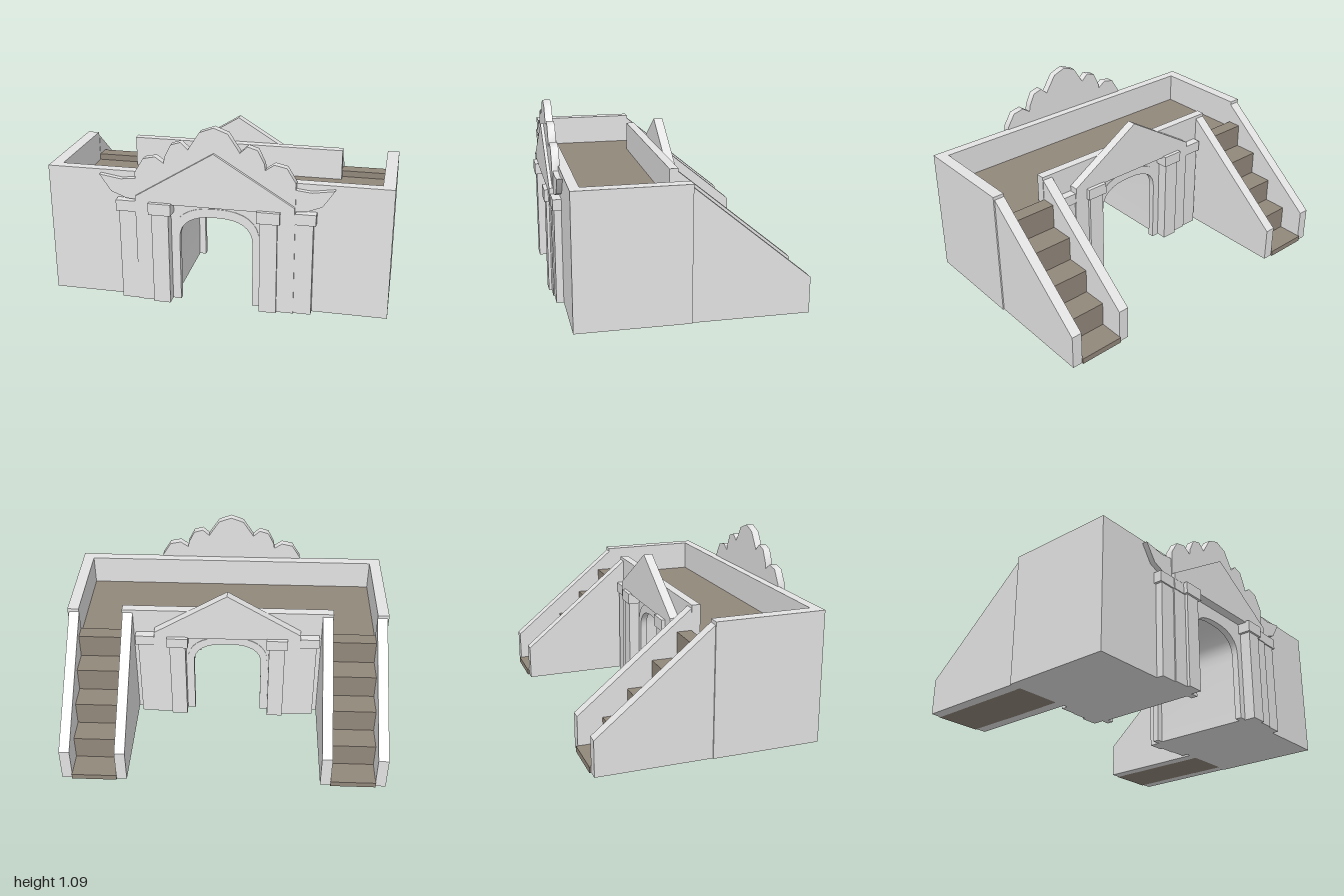
import * as THREE from 'three';
import { toCreasedNormals } from 'three/addons/utils/BufferGeometryUtils.js';

const stone = new THREE.MeshStandardMaterial({ color: 0xe3e3e3 });
stone.name = 'grey stone';
const earth = new THREE.MeshStandardMaterial({ color: 0x92887b });
earth.name = 'brown paving';

const FLOOR = 0.6, TOP = 0.79, BACK = -0.021, FRONT = 0.633;

function add(parent, name, geometry, material = stone) {
  const mesh = new THREE.Mesh(geometry, material);
  mesh.name = name;
  parent.add(mesh);
  return mesh;
}

// Box given by its limits on each axis
function box(parent, name, x0, x1, y0, y1, z0, z1, material) {
  const g = new THREE.BoxGeometry(x1 - x0, y1 - y0, z1 - z0);
  g.translate((x0 + x1) / 2, (y0 + y1) / 2, (z0 + z1) / 2);
  return add(parent, name, g, material);
}

// Outline in x, y extruded between two z values
function slab(parent, name, points, z0, z1, crease = 0.6) {
  const shape = new THREE.Shape(points.map(([x, y]) => new THREE.Vector2(x, y)));
  const g = new THREE.ExtrudeGeometry(shape, { depth: z1 - z0, bevelEnabled: false });
  g.translate(0, 0, z0);
  return add(parent, name, toCreasedNormals(g, crease));
}

// Arch line from the right foot over the top to the left foot
function arch(width, spring, height, n = 16) {
  const pts = [[width, 0]];
  for (let i = 0; i <= n; i++) {
    const a = (i / n) * Math.PI, c = Math.cos(a), s = Math.max(0, Math.sin(a));
    pts.push([Math.sign(c) * width * Math.abs(c) ** 0.8, spring + height * s ** 0.8]);
  }
  pts.push([-width, 0]);
  return pts;
}

// Completes a right-half outline (top centre to bottom) with its mirror image
function mirrored(half) {
  return [...half, ...half.filter(([x]) => x > 0).reverse().map(([x, y]) => [-x, y])];
}

// The passage is wider than the frames set into its two ends
const passage = arch(0.255, 0.4, 0.195);
const opening = arch(0.215, 0.39, 0.152);

// Arch frame, pilasters with capitals, and pediment
function facade(name) {
  const group = new THREE.Group();
  group.name = name;
  slab(group, 'archFrame', [...passage, ...[...opening].reverse()], 0.598, FRONT + 0.004);

  // column x range, column depth, capital x range, capital y range, capital depth
  const pilasters = [
    ['inner', 0.265, 0.365, 0.699, 0.248, 0.38, 0.56, 0.63, 0.711],
    ['middle', 0.365, 0.463, 0.682, 0.38, 0.463, 0.56, 0.622, 0.687],
    ['outer', 0.463, 0.565, 0.675, 0.463, 0.58, 0.56, 0.626, 0.683],
  ];
  for (const s of [-1, 1]) {
    const side = s > 0 ? 'Left' : 'Right';
    const span = (a, b) => (s > 0 ? [a, b] : [-b, -a]);
    for (const [part, x0, x1, z, cx0, cx1, y0, y1, cz] of pilasters) {
      box(group, part + 'Pilaster' + side, ...span(x0, x1), 0, y0, FRONT, z);
      box(group, part + 'Capital' + side, ...span(cx0, cx1), y0, y1, FRONT, cz);
    }
  }
  slab(group, 'pediment', mirrored([[0, 0.945], [0.46, 0.66], [0.46, 0.622]]), FRONT, 0.688);
  return group;
}

// Scalloped crest and upswept wings above the front pediment
function crest(parent) {
  slab(parent, 'crest', mirrored([
    [0, 1.09], [0.08, 1.06], [0.135, 0.975], [0.147, 0.955], [0.19, 0.995], [0.247, 0.977],
    [0.285, 0.9], [0.29, 0.865], [0.34, 0.9], [0.41, 0.885], [0.462, 0.8], [0.462, 0.63],
  ]), 0.624, 0.67, 1.1);
  const wing = [[0.46, 0.63], [0.52, 0.635], [0.61, 0.67], [0.678, 0.77], [0.55, 0.75], [0.46, 0.76]];
  slab(parent, 'wingLeft', wing, FRONT, 0.664, 1.1);
  slab(parent, 'wingRight', wing.map(([x, y]) => [-x, y]), FRONT, 0.664, 1.1);
}

// Stairs with sloping side walls, on the +x side or its mirror
function stairs(s) {
  const group = new THREE.Group();
  group.name = s > 0 ? 'stairsLeft' : 'stairsRight';
  // The top step stands a little above the terrace floor
  const edges = [-0.71, -0.552, -0.405, -0.257, -0.108, BACK];
  for (let i = 0; i < 5; i++) {
    const c = s * 0.7925;
    box(group, 'step' + (i + 1), c - 0.1375, c + 0.1375, 0, 0.035 + i * 0.1515, edges[i], edges[i + 1], earth);
  }
  const profile = new THREE.Shape([[-BACK, 0], [0.7, 0], [0.7, 0.212], [-BACK, 0.77]]
    .map(([x, y]) => new THREE.Vector2(x, y)));
  for (const [name, x] of [['innerRail', 0.625], ['outerRail', 0.96]]) {
    const g = new THREE.ExtrudeGeometry(profile, { depth: 0.064, bevelEnabled: false });
    g.translate(0, 0, -0.032);
    g.rotateY(Math.PI / 2);
    g.translate(s * x, 0, 0);
    add(group, name, g);
  }
  return group;
}

export function createModel() {
  const model = new THREE.Group();
  model.name = 'gatehouse';

  // Main block with the passage cut through it
  slab(model, 'gateBlock', [[1, 0], [1, FLOOR], [-1, FLOOR], [-1, 0], ...[...passage].reverse()], BACK, FRONT);
  box(model, 'terraceFloor', -0.93, 0.93, FLOOR, FLOOR + 0.003, BACK, 0.575, earth);

  // Parapets, open at the back where the stairs arrive
  box(model, 'frontParapet', -1, 1, FLOOR, TOP, 0.575, FRONT);
  box(model, 'backParapet', -0.66, 0.66, FLOOR, TOP, BACK, 0.032);
  box(model, 'leftParapet', 0.93, 1, FLOOR, TOP, BACK, 0.575);
  box(model, 'rightParapet', -1, -0.93, FLOOR, TOP, BACK, 0.575);

  // Matching facades on both faces, the front one crowned
  const front = facade('frontFacade');
  crest(front);
  const back = facade('backFacade');
  back.rotation.y = Math.PI;
  back.position.z = BACK + FRONT;
  model.add(front, back, stairs(1), stairs(-1));
  return model;
}
